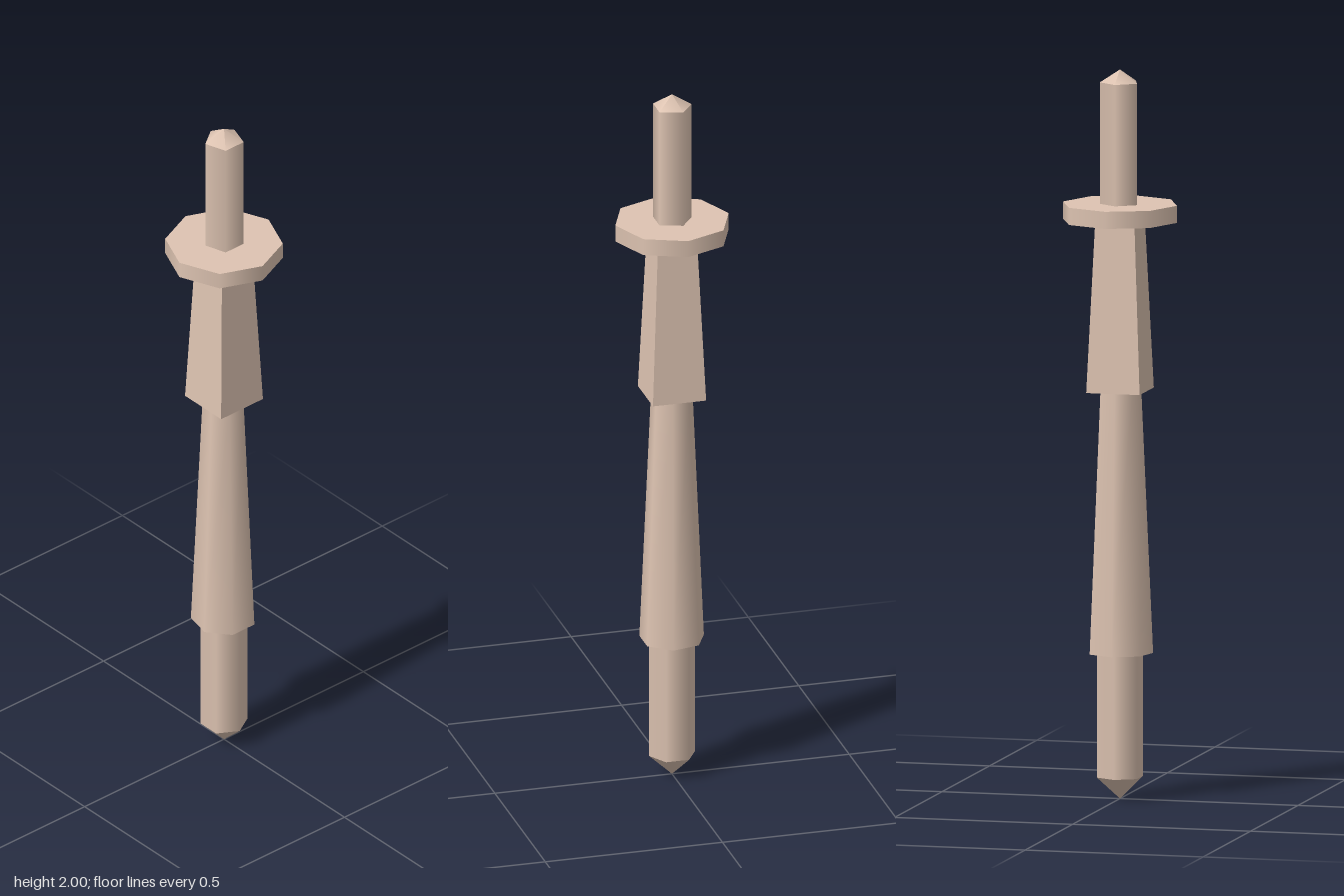
import * as THREE from 'three';

export function createModel() {
  const group = new THREE.Group();
  const smooth = new THREE.MeshStandardMaterial({ color: 0xdec4b2 });
  const flat = new THREE.MeshStandardMaterial({ color: 0xdec4b2, flatShading: true });

  // Upright prism, taper or cone between two heights, with a corner towards -z
  function section(name, sides, y0, r0, y1, r1, { turn = Math.PI, open = false, material = smooth } = {}) {
    const geometry = new THREE.CylinderGeometry(r1, r0, y1 - y0, sides, 1, open);
    geometry.rotateY(turn);
    geometry.translate(0, (y0 + y1) / 2, 0);
    const mesh = new THREE.Mesh(geometry, material);
    mesh.name = name;
    group.add(mesh);
  }

  // Six-sided foot with its point
  section('footPoint', 6, 0, 0, 0.06, 0.065, { open: true });
  section('footShaft', 6, 0.06, 0.065, 0.4, 0.065, { open: true });

  // Seven-sided tapered lower shaft
  section('lowerShaft', 7, 0.4, 0.09, 1.12, 0.058);

  // Square tapered grip, sides facing the axes
  section('squareGrip', 4, 1.12, 0.075 * Math.SQRT2, 1.59, 0.055 * Math.SQRT2,
    { turn: Math.PI / 4, material: flat });

  // Eight-sided disc
  section('disc', 8, 1.585, 0.16, 1.632, 0.16);

  // Five-sided top shaft with its point
  section('topShaft', 5, 1.632, 0.055, 1.965, 0.055, { open: true });
  section('topPoint', 5, 1.965, 0.055, 2, 0, { open: true });

  return group;
}
